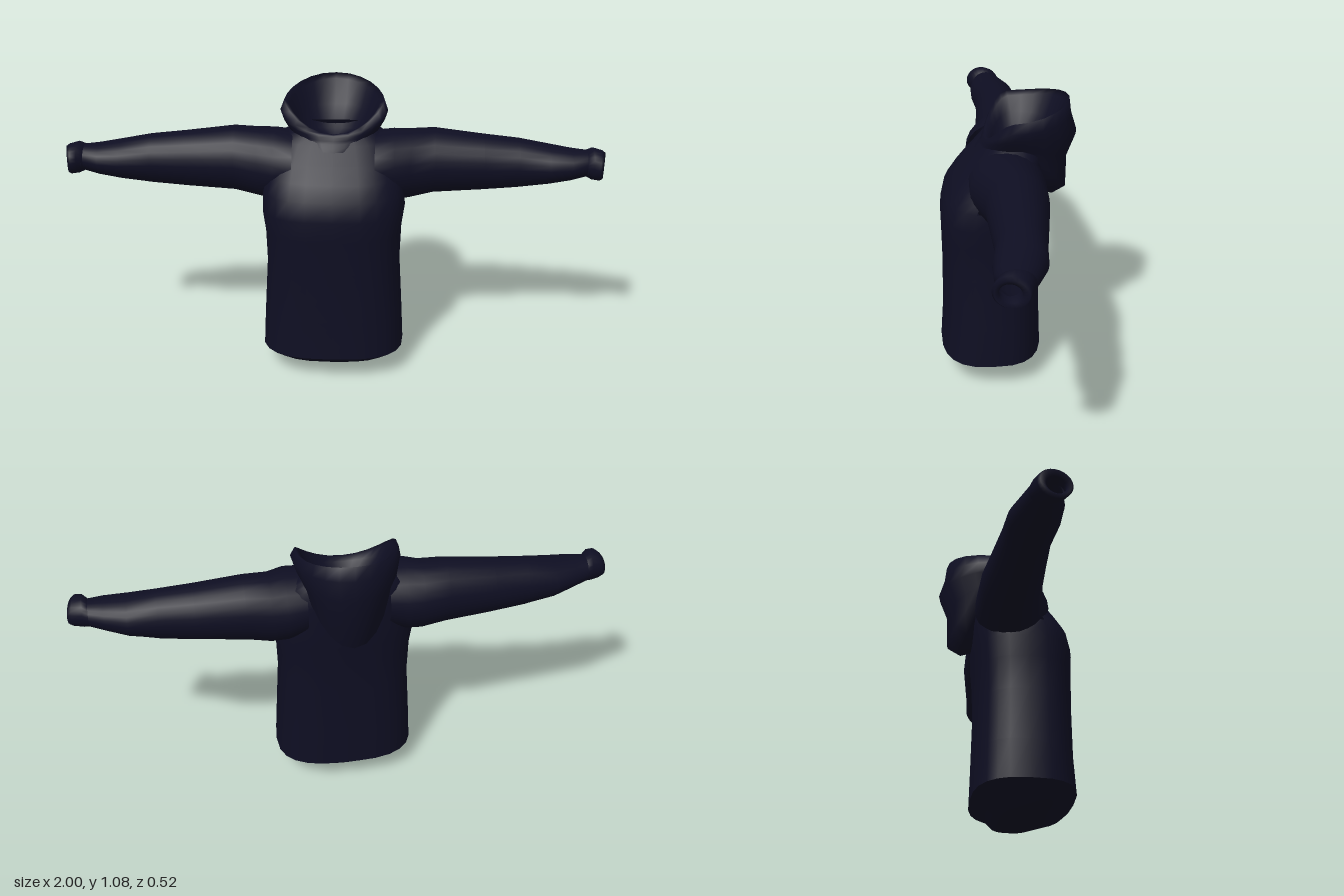
import * as THREE from 'three';

const navy = new THREE.MeshStandardMaterial({ color: 0x0e0e22, side: THREE.DoubleSide });
navy.name = 'navy cloth';

const SEG = 24;
const spow = (v, p) => Math.sign(v) * Math.abs(v) ** p;

// Skin closed rings of points; keep(centre) can leave quads out
function loft(name, rings, keep = () => true) {
  const pos = rings.flat().flatMap(p => p.toArray());
  const index = [];
  for (let r = 0; r < rings.length - 1; r++) {
    for (let i = 0; i < SEG; i++) {
      const j = (i + 1) % SEG;
      const centre = rings[r][i].clone().add(rings[r + 1][j]).multiplyScalar(0.5);
      if (!keep(centre)) continue;
      const a = r * SEG + i, b = r * SEG + j, c = a + SEG, d = b + SEG;
      index.push(a, b, d, a, d, c);
    }
  }
  const geo = new THREE.BufferGeometry();
  geo.setAttribute('position', new THREE.Float32BufferAttribute(pos, 3));
  geo.setIndex(index);
  geo.computeVertexNormals();
  const mesh = new THREE.Mesh(geo, navy);
  mesh.name = name;
  return mesh;
}

const ring = fn => Array.from({ length: SEG }, (_, i) => fn((i / SEG) * Math.PI * 2));

// Level body ring: height, half width, front z, back z
function bodyRing([y, w, front, back]) {
  const zc = (front + back) / 2, d = (front - back) / 2;
  return ring(t => new THREE.Vector3(w * spow(Math.sin(t), 0.72), y, zc + d * spow(Math.cos(t), 0.72)));
}

// Draped hood ring: front z/y, side x/z/y, back z/y
function hoodRing([fz, fy, sx, sz, sy, bz, by]) {
  return ring(t => {
    const c = Math.cos(t), k = Math.abs(c);
    const ez = c > 0 ? fz : bz, ey = c > 0 ? fy : by;
    return new THREE.Vector3(sx * spow(Math.sin(t), 0.95), sy + (ey - sy) * k ** 1.7, sz + (ez - sz) * k);
  });
}

// Upright sleeve ring: x, bottom y, top y, back z, front z, slant of the end
function sleeveRing(side, [x, y0, y1, z0, z1, slant = 0]) {
  return ring(t => new THREE.Vector3(
    side * (x - slant * (1 + Math.cos(t)) / 2),
    (y0 + y1) / 2 + ((y1 - y0) / 2) * Math.sin(t),
    (z0 + z1) / 2 + ((z1 - z0) / 2) * Math.cos(t)));
}

export function createModel() {
  const model = new THREE.Group();
  model.name = 'hoodedTop';

  // Body, open where the sleeves join
  const body = [
    [0.1, 0.27, 0.26, -0.125],
    [0.25, 0.262, 0.25, -0.12],
    [0.45, 0.25, 0.248, -0.115],
    [0.58, 0.254, 0.25, -0.118],
    [0.66, 0.265, 0.252, -0.125],
    [0.73, 0.262, 0.236, -0.127],
    [0.785, 0.25, 0.198, -0.127],
    [0.84, 0.238, 0.152, -0.127],
    [0.9, 0.21, 0.1, -0.12],
    [0.932, 0.16, 0.07, -0.1],
  ];
  const inArmhole = p => Math.abs(p.x) > 0.2 && p.y > 0.74 && p.y < 0.88 && p.z > -0.05 && p.z < 0.11;
  model.add(loft('body', body.map(bodyRing), p => !inArmhole(p)));

  // Gathered hem, tucked in below the body
  const hem = [
    [0, 0.002, 0.052, 0.048],
    [0.014, 0.075, 0.088, -0.02],
    [0.03, 0.145, 0.125, -0.05],
    [0.075, 0.225, 0.235, -0.08],
    [0.1, 0.27, 0.26, -0.125],
  ];
  model.add(loft('hem', hem.map(bodyRing)));

  // Sleeves with cuffs, turned in at the open end
  const sleeve = [
    [0.15, 0.69, 0.925, -0.125, 0.15],
    [0.22, 0.665, 0.932, -0.13, 0.145],
    [0.28, 0.668, 0.928, -0.128, 0.115],
    [0.37, 0.688, 0.932, -0.124, 0.1],
    [0.55, 0.702, 0.912, -0.102, 0.09],
    [0.68, 0.715, 0.9, -0.086, 0.085],
    [0.79, 0.737, 0.882, -0.078, 0.1],
    [0.87, 0.757, 0.872, -0.05, 0.1],
    [0.925, 0.772, 0.868, -0.028, 0.085],
  ];
  const cuff = [
    [0.925, 0.772, 0.868, -0.028, 0.085],
    [0.945, 0.765, 0.882, -0.022, 0.102],
    [0.985, 0.765, 0.876, -0.008, 0.112, 0.02],
    [1.0, 0.772, 0.866, 0, 0.105, 0.025],
    [0.985, 0.784, 0.848, 0.02, 0.09, 0.02],
    [0.93, 0.782, 0.85, 0.018, 0.09],
  ];
  for (const [side, label] of [[1, 'left'], [-1, 'right']]) {
    model.add(loft(label + 'Sleeve', sleeve.map(r => sleeveRing(side, r))));
    model.add(loft(label + 'Cuff', cuff.map(r => sleeveRing(side, r))));
  }

  // Hood hanging open behind the neck: outside, rim, then lining
  const hood = [
    [0.12, 0.88, 0.13, -0.01, 0.9, -0.1, 0.72],
    [0.11, 0.895, 0.15, -0.02, 0.91, -0.17, 0.7],
    [0.1, 0.905, 0.16, -0.02, 0.925, -0.22, 0.73],
    [0.095, 0.915, 0.17, -0.015, 0.94, -0.222, 0.86],
    [0.09, 0.925, 0.188, -0.005, 0.975, -0.256, 0.95],
    [0.085, 0.932, 0.197, 0, 1.005, -0.235, 1.02],
    [0.08, 0.936, 0.183, -0.01, 1.04, -0.228, 1.077],
    [0.07, 0.934, 0.165, -0.015, 1.025, -0.205, 1.06],
    [0.055, 0.925, 0.14, -0.025, 0.97, -0.17, 0.97],
    [0.035, 0.9, 0.095, -0.03, 0.91, -0.1, 0.9],
    [-0.02, 0.875, 0.003, -0.025, 0.875, -0.03, 0.875],
  ];
  model.add(loft('hood', hood.map(hoodRing)));

  return model;
}
